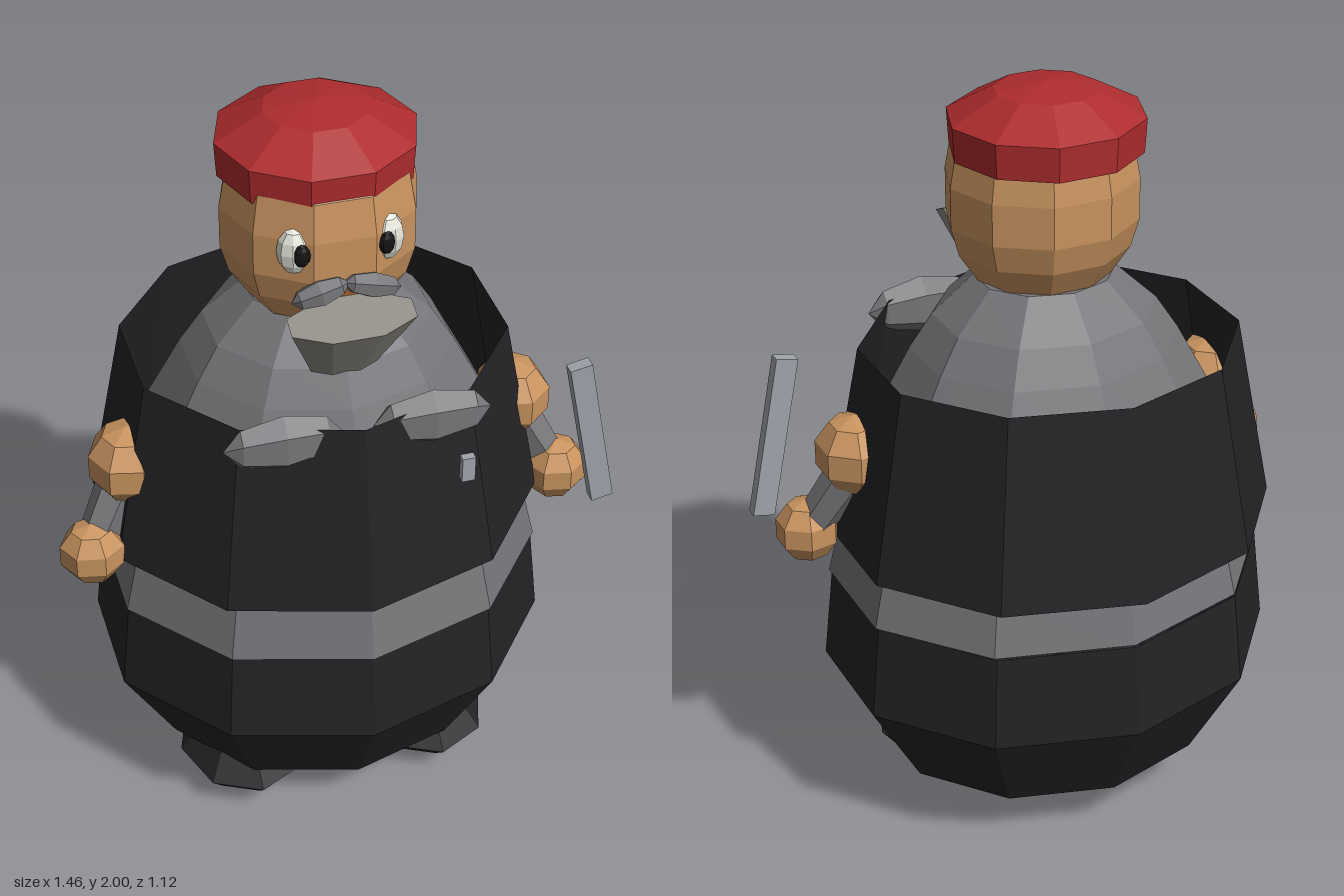
import * as THREE from 'three';

const mat = (color) => new THREE.MeshStandardMaterial({ color, flatShading: true, side: THREE.DoubleSide });
const BLACK = mat(0x232326), GREY = mat(0x76767a), SKIN = mat(0xc8935f), RED = mat(0xae2c2e);
const BEARD = mat(0x8c8a82), STEEL = mat(0xa0a3aa), WHITE = mat(0xe6e6dc), DARK = mat(0x141414), LIP = mat(0xa0602f);

export function createModel() {
  const group = new THREE.Group();

  const add = (name, geometry, material, x = 0, y = 0, z = 0) => {
    const mesh = new THREE.Mesh(geometry, material);
    mesh.name = name;
    mesh.position.set(x, y, z);
    group.add(mesh);
    return mesh;
  };

  // Ten-sided turned form from [radius, y] pairs, listed bottom to top
  const turned = (name, profile, material, z, widen, turn = 0) => {
    const g = new THREE.LatheGeometry(profile.map(([r, y]) => new THREE.Vector2(r, y)), 10);
    g.rotateY(turn).scale(widen, 1, 1);
    return add(name, g, material, 0, 0, z);
  };

  // Faceted ellipsoid; sideways puts its poles on the x axis
  const blob = (name, r, material, p, sides = 8, rings = 4, sideways = false) => {
    const g = new THREE.SphereGeometry(1, sides, rings);
    if (sideways) g.rotateZ(Math.PI / 2);
    g.scale(...r);
    return add(name, g, material, ...p);
  };

  // Body and cape
  turned('trousers', [[0, 0.14], [0.415, 0.14], [0.55, 0.4], [0.525, 0.655]], BLACK, 0.012, 1.12);
  turned('torso', [[0.525, 0.655], [0.492, 0.81], [0.43, 1.06], [0.315, 1.3], [0.262, 1.39], [0.165, 1.49], [0, 1.49]],
    GREY, 0.02, 1.13);
  turned('cape', [[0.547, 0.81], [0.457, 1.32]], BLACK, -0.013, 1.1);

  // Head and cap, with corners at the sides
  const turn = Math.PI / 10;
  turned('head', [[0, 1.47], [0.17, 1.485], [0.22, 1.565], [0.24, 1.64], [0.24, 1.75], [0.222, 1.85], [0.13, 1.94], [0, 1.96]],
    SKIN, 0.035, 1.05, turn);
  turned('cap', [[0, 1.825], [0.242, 1.825], [0.247, 1.915], [0.13, 1.98], [0, 2]], RED, 0.012, 1.03, turn);

  // Beard wedge leaning forward at the top
  const beardShape = new THREE.CylinderGeometry(0.16, 0.085, 0.2, 8);
  beardShape.rotateY(Math.PI / 8).scale(1.06, 1, 0.43);
  add('beard', beardShape, BEARD, 0, 1.478, 0.285).rotation.x = 0.4;
  add('mouth', new THREE.BoxGeometry(0.09, 0.03, 0.03), LIP, 0, 1.598, 0.25);

  // Paired parts
  for (const s of [1, -1]) {
    blob('eye', [0.042, 0.062, 0.032], WHITE, [s * 0.118, 1.722, 0.228], 8, 6).rotation.y = s * 0.3;
    blob('pupil', [0.022, 0.031, 0.014], DARK, [s * 0.106, 1.722, 0.256], 8, 6).rotation.y = s * 0.2;
    blob('moustache', [0.075, 0.034, 0.035], GREY, [s * 0.065, 1.622, 0.275], 6, 4, true).rotation.z = -s * 0.25;
    blob('collarLobe', [0.153, 0.08, 0.05], GREY, [s * 0.19, 1.28, 0.385], 6, 4, true);
    blob('shoe', [0.178, 0.092, 0.218], BLACK, [s * 0.258, 0.092, 0.167], 8, 4);

    // Arm: shoulder, forearm, fist
    blob('shoulder', [0.105, 0.11, 0.112], SKIN, [s * 0.52, 1.057, 0.07], 7, 5);
    blob('fist', [0.09, 0.09, 0.082], SKIN, [s * 0.635, 0.832, 0.13], 7, 5);
    const from = new THREE.Vector3(s * 0.54, 1.0, 0.07), to = new THREE.Vector3(s * 0.63, 0.84, 0.12);
    const mid = from.clone().lerp(to, 0.5);
    const forearm = add('forearm', new THREE.CylinderGeometry(0.06, 0.05, from.distanceTo(to), 6), GREY, mid.x, mid.y, mid.z);
    forearm.quaternion.setFromUnitVectors(new THREE.Vector3(0, 1, 0), from.sub(to).normalize());
  }

  // Baton by the left hand and badge on the chest
  add('baton', new THREE.BoxGeometry(0.06, 0.45, 0.034), STEEL, 0.668, 1.045, 0.268).rotation.z = 0.2;
  add('badge', new THREE.BoxGeometry(0.034, 0.07, 0.022), STEEL, 0.256, 1.17, 0.472);

  group.position.x = -0.013;
  const model = new THREE.Group();
  model.name = 'figure';
  model.add(group);
  return model;
}
